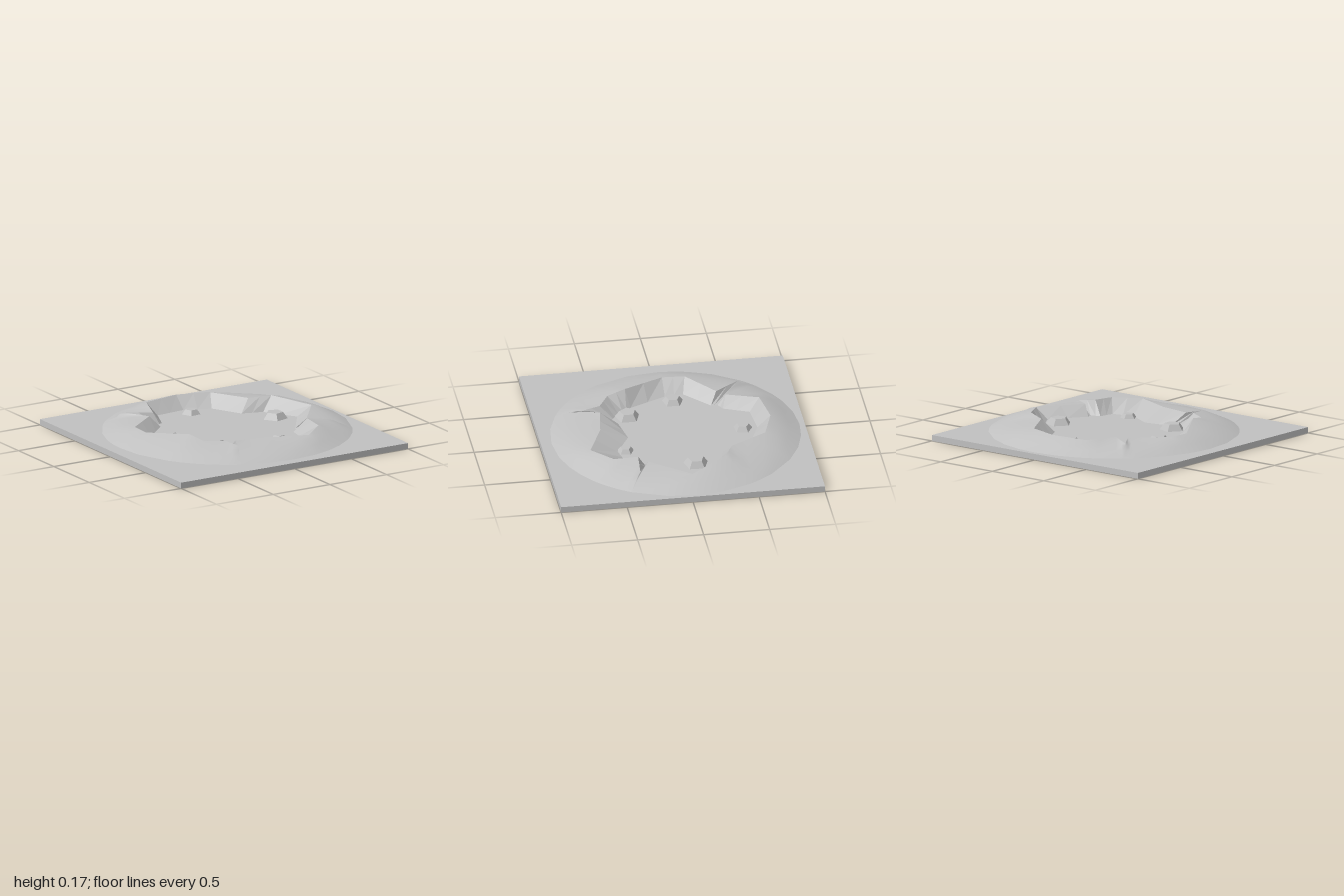
import * as THREE from 'three';

const GROUND = 0.045;
const CX = 0.04, CZ = -0.02;

// Crater outline, clockwise from the back left: rim x, rim z, rim height, floor x, floor z
const OUTLINE = [
  [-0.34, -0.46, 0.13, -0.28, -0.43],
  [-0.25, -0.70, 0.135, -0.20, -0.62],
  [0.04, -0.74, 0.14, 0.04, -0.64],
  [0.29, -0.66, 0.14, 0.24, -0.56],
  [0.45, -0.38, 0.14, 0.36, -0.33],
  [0.61, -0.31, 0.155, 0.52, -0.28],
  [0.79, -0.03, 0.12, 0.67, -0.04],
  [0.56, 0.27, 0.125, 0.49, 0.22],
  [0.69, 0.35, 0.12, 0.51, 0.27], // right gully
  [0.52, 0.34, 0.15, 0.43, 0.29],
  [0.51, 0.52, 0.14, 0.41, 0.41],
  [0.33, 0.67, 0.13, 0.24, 0.45],
  [0.04, 0.55, 0.13, 0.04, 0.34],
  [-0.22, 0.51, 0.13, -0.18, 0.38],
  [-0.27, 0.63, 0.13, -0.24, 0.42], // front gully
  [-0.30, 0.50, 0.14, -0.28, 0.39],
  [-0.44, 0.42, 0.14, -0.36, 0.32], // left front gully
  [-0.48, 0.28, 0.165, -0.40, 0.25],
  [-0.67, -0.03, 0.13, -0.53, -0.03],
  [-0.66, -0.20, 0.13, -0.54, -0.17],
  [-0.41, -0.40, 0.125, -0.34, -0.35],
  [-0.53, -0.58, 0.13, -0.34, -0.40], // left back gully
];

// Split every outline segment in two so the outer foot stays round
function subdivide(list) {
  return list.flatMap((p, i) => {
    const q = list[(i + 1) % list.length];
    return [p, p.map((v, k) => (v + q[k]) / 2)];
  });
}

// Skin a stack of closed rings, ordered from outside to inside
function loft(rings) {
  const n = rings[0].length;
  const index = [];
  for (let r = 0; r < rings.length - 1; r++) {
    for (let i = 0; i < n; i++) {
      const j = (i + 1) % n;
      const a = r * n + i, b = r * n + j, c = a + n, d = b + n;
      index.push(a, c, b, b, c, d);
    }
  }
  const geometry = new THREE.BufferGeometry();
  geometry.setAttribute('position', new THREE.Float32BufferAttribute(rings.flat(2), 3));
  geometry.setIndex(index);
  geometry.computeVertexNormals();
  return geometry;
}

function flat(geometry) {
  const g = geometry.toNonIndexed();
  g.computeVertexNormals();
  return g;
}

export function createModel() {
  const group = new THREE.Group();
  const stone = new THREE.MeshStandardMaterial({ color: 0xc0c0c0 });
  stone.name = 'grey stone';

  const add = (name, geometry) => {
    const mesh = new THREE.Mesh(geometry, stone);
    mesh.name = name;
    group.add(mesh);
    return mesh;
  };

  // Square ground slab, also the crater floor
  add('groundSlab', new THREE.BoxGeometry(2, GROUND, 2)).position.y = GROUND / 2;

  // Rings of the mound, from its round foot up to the broken rim
  const outline = subdivide(OUTLINE);
  const circle = (radius, y) => outline.map(([x, z]) => {
    const angle = Math.atan2(z - CZ, x - CX);
    return [CX + radius * Math.cos(angle), y, CZ + radius * Math.sin(angle)];
  });
  const foot = circle(0.94, GROUND);
  const slope = circle(0.85, 0.085);
  const rim = outline.map(([x, z, y]) => [x, y, z]);
  const shoulder = slope.map((p, i) => p.map((v, k) => (v + rim[i][k]) / 2 + (k === 1 ? 0.006 : 0)));
  const floorEdge = outline.map((p) => [p[3], GROUND, p[4]]);

  add('outerSlope', loft([foot, slope, shoulder, rim]));
  add('innerWall', flat(loft([rim, floorEdge])));

  // Five-sided boulders: x, z, radius, turn
  const boulders = [
    [0.04, -0.53, 0.073, Math.PI + 0.1],
    [0.51, -0.10, 0.097, -1.6],
    [-0.44, -0.075, 0.082, -1.65],
    [-0.265, 0.295, 0.096, -1.57],
    [0.24, 0.39, 0.064, -1.7],
  ];
  for (const [x, z, r, turn] of boulders) {
    const h = r * 0.5;
    const rock = add('boulder', flat(new THREE.CylinderGeometry(r * 0.64, r, h, 5)));
    rock.position.set(x, GROUND + h / 2, z);
    rock.rotation.y = turn;
  }
  return group;
}
